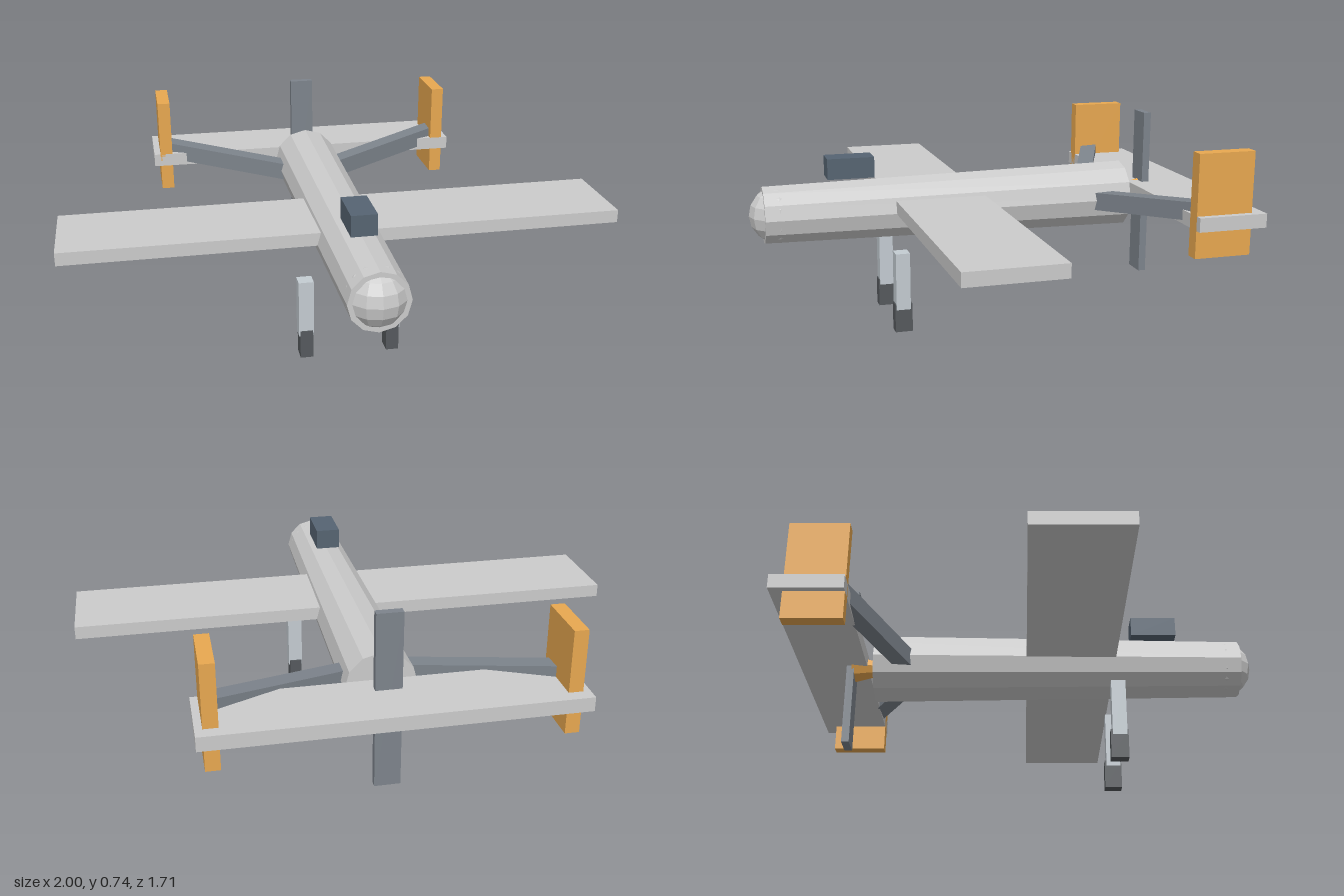
import * as THREE from 'three';

const material = (color) => new THREE.MeshStandardMaterial({ color, flatShading: true });
const grey = material(0xcccccc);
const orange = material(0xe8a850);
const steel = material(0x7d848c);
const slate = material(0x566472);
const silver = material(0xc4ccd2);
const rubber = material(0x55595d);

export function createModel() {
  const model = new THREE.Group();
  const axisY = 0.425;

  const add = (name, geometry, mat, x, y, z) => {
    const mesh = new THREE.Mesh(geometry, mat);
    mesh.name = name;
    mesh.position.set(x, y, z);
    model.add(mesh);
    return mesh;
  };
  // Box given by its lower and upper corners
  const box = (name, mat, x0, x1, y0, y1, z0, z1) =>
    add(name, new THREE.BoxGeometry(x1 - x0, y1 - y0, z1 - z0), mat,
      (x0 + x1) / 2, (y0 + y1) / 2, (z0 + z1) / 2);
  // Round part lying along z
  const barrel = (name, mat, rFront, rBack, zFront, zBack, sides) =>
    add(name, new THREE.CylinderGeometry(rFront, rBack, zFront - zBack, sides).rotateX(Math.PI / 2),
      mat, 0, axisY, (zFront + zBack) / 2);

  // Body: tapered fuselage, rounded nose, canopy block
  barrel('fuselage', grey, 0.105, 0.125, 0.8, -0.57, 12);
  add('nose', new THREE.SphereGeometry(0.104, 12, 8), grey, 0, axisY, 0.746);
  box('canopy', slate, -0.045, 0.045, 0.55, 0.625, 0.4, 0.57);

  // Flying surfaces
  box('wing', grey, -1, 1, 0.423, 0.47, 0, 0.333);
  box('tailplane', grey, -0.63, 0.63, 0.42, 0.47, -0.855, -0.602);

  // Pusher propeller and its hub
  barrel('propellerHub', orange, 0.028, 0.054, -0.56, -0.66, 8);
  box('propeller', steel, -0.045, 0.045, 0.11, 0.74, -0.678, -0.65);

  // Mirrored parts
  for (const side of [1, -1]) {
    const tag = side > 0 ? 'left' : 'right';
    const pair = (name, mat, x0, x1, ...rest) =>
      box(tag + name, mat, Math.min(side * x0, side * x1), Math.max(side * x0, side * x1), ...rest);

    pair('Fin', orange, 0.556, 0.605, 0.32, 0.687, -0.81, -0.602);
    pair('Leg', silver, 0.13, 0.184, 0.085, 0.295, 0.304, 0.356);
    pair('Foot', rubber, 0.134, 0.18, 0, 0.105, 0.297, 0.36);

    // Slanted boom from fuselage to fin
    const start = new THREE.Vector3(side * 0.06, 0.417, -0.44);
    const end = new THREE.Vector3(side * 0.575, 0.476, -0.672);
    const middle = start.clone().add(end).multiplyScalar(0.5);
    const boom = add(tag + 'Boom', new THREE.BoxGeometry(0.064, 0.066, start.distanceTo(end)),
      steel, middle.x, middle.y, middle.z);
    boom.lookAt(end);
  }
  return model;
}
